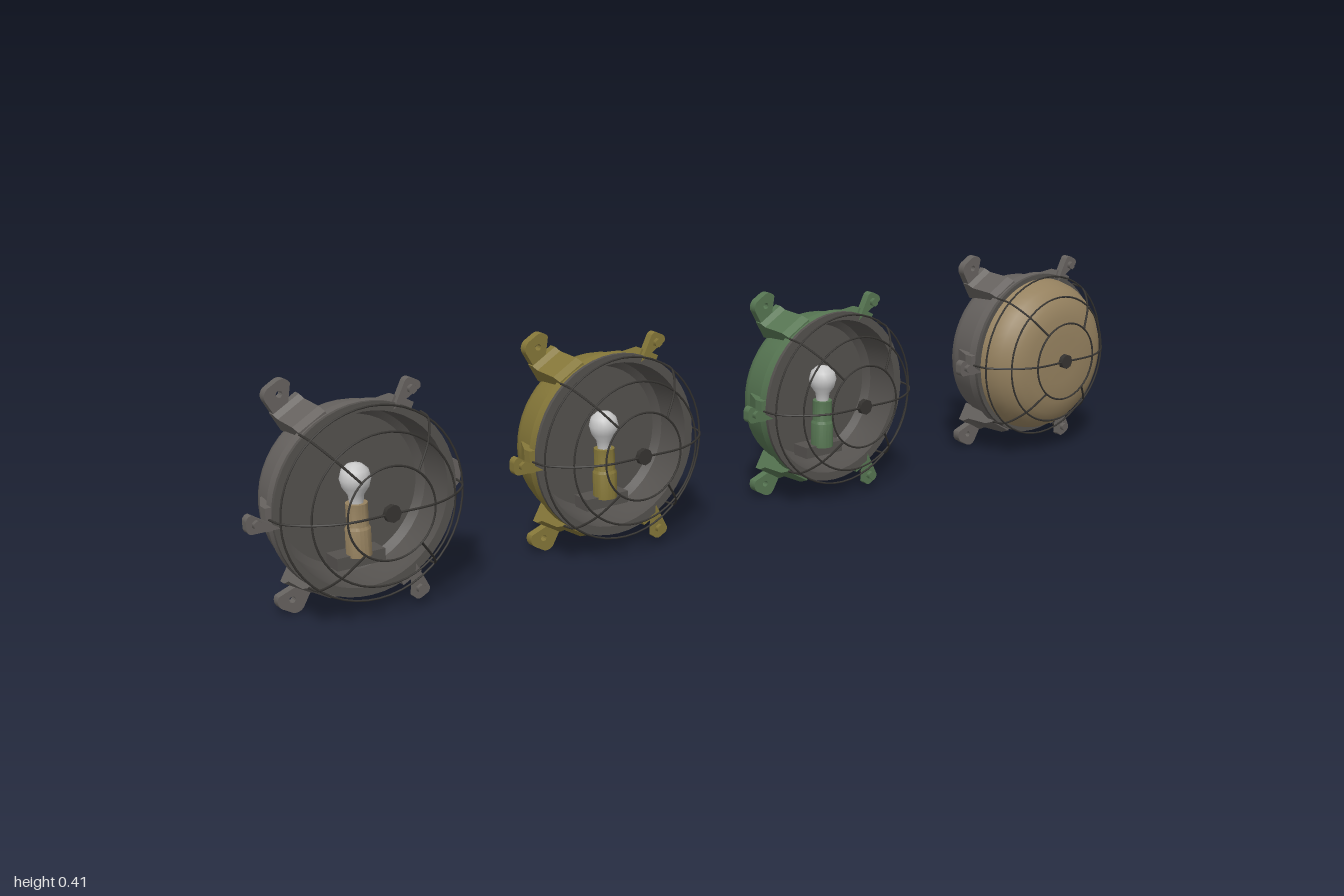
import * as THREE from 'three';
import { toCreasedNormals } from 'three/addons/utils/BufferGeometryUtils.js';

const mat = (name, color, side = THREE.FrontSide) => {
  const m = new THREE.MeshStandardMaterial({ color, side });
  m.name = name;
  return m;
};
const grey = mat('grey paint', 0x66625f);
const yellow = mat('yellow paint', 0x857739);
const green = mat('green paint', 0x567552);
const tan = mat('tan glass', 0x95815f);
const dark = mat('dark interior', 0x54514e, THREE.DoubleSide);
const wire = mat('black wire', 0x363431);
const white = mat('bulb white', 0xc8c8c8);

const V = (x, y, z) => new THREE.Vector3(x, y, z);
const rad = THREE.MathUtils.degToRad;

function add(parent, name, geo, material) {
  const m = new THREE.Mesh(geo, material);
  m.name = name;
  parent.add(m);
  return m;
}

// Lathe around the z axis; points are [radius, z]
function turned(points, crease = 0.6) {
  const g = new THREE.LatheGeometry(points.map(([r, z]) => new THREE.Vector2(r, z)), 48);
  return toCreasedNormals(g.rotateX(Math.PI / 2), crease);
}

// Cylinder along z from z0 to z1
function pin(r, z0, z1, sides = 12) {
  return new THREE.CylinderGeometry(r, r, z1 - z0, sides).rotateX(Math.PI / 2).translate(0, 0, (z0 + z1) / 2);
}

// Plate along +x with rounded outer corners and an optional drilled hole
function lugPlate(r0, r1, half, corner, hole, z0, z1) {
  const s = new THREE.Shape();
  s.moveTo(r0, -half);
  s.absarc(r1 - corner, -half + corner, corner, -Math.PI / 2, 0, false);
  s.absarc(r1 - corner, half - corner, corner, 0, Math.PI / 2, false);
  s.lineTo(r0, half);
  s.closePath();
  if (hole) s.holes.push(new THREE.Path().absarc(r1 - half * 0.8, 0, hole, 0, Math.PI * 2, true));
  return new THREE.ExtrudeGeometry(s, { depth: z1 - z0, bevelEnabled: false, curveSegments: 6 }).translate(0, 0, z0);
}

// Block with an [r, z] side profile and a given width
function profileBlock(points, width) {
  const s = new THREE.Shape(points.map(([r, z]) => new THREE.Vector2(r, z)));
  return new THREE.ExtrudeGeometry(s, { depth: width, bevelEnabled: false })
    .rotateX(Math.PI / 2).translate(0, width / 2, 0);
}

function buildCage() {
  const cage = new THREE.Group();
  cage.name = 'wireCage';
  for (const [r, z] of [[0.167, 0.031], [0.131, 0.069], [0.08, 0.093]])
    add(cage, 'cageRing', new THREE.TorusGeometry(r, 0.0019, 6, 48).translate(0, 0, z), wire);
  for (const a of [0, 50, 130, 180, 230, 310]) {
    const pts = [[0.172, 0], [0.167, 0.031], [0.131, 0.069], [0.08, 0.093]];
    if (a % 180 === 0) pts.push([0, 0.095]);
    const c = new THREE.CatmullRomCurve3(pts.map(([r, z]) => V(r, 0, z)));
    add(cage, 'cageRib', new THREE.TubeGeometry(c, 20, 0.0021, 6), wire).rotation.z = rad(a);
  }
  add(cage, 'cageHub', pin(0.015, 0.088, 0.098, 8), wire);
  return cage;
}

function buildBulb(holderPaint) {
  const g = new THREE.Group();
  g.name = 'bulbAssembly';
  add(g, 'holderBase', new THREE.BoxGeometry(0.09, 0.022, 0.04).translate(0, -0.115, -0.045), dark);
  const holder = [[0, -0.108], [0.022, -0.108], [0.022, -0.06], [0.019, -0.055], [0.019, -0.015], [0, -0.015]];
  add(g, 'bulbHolder', toCreasedNormals(new THREE.LatheGeometry(
    holder.map(p => new THREE.Vector2(...p)), 20), 0.6), holderPaint).position.z = -0.033;
  const glass = [[0.012, -0.015], [0.014, 0], [0.023, 0.013], [0.027, 0.028], [0.023, 0.043], [0.013, 0.052], [0, 0.055]];
  add(g, 'bulb', new THREE.LatheGeometry(
    glass.map(p => new THREE.Vector2(...p)), 20), white).position.z = -0.033;
  return g;
}

function buildLamp(paint, holderPaint) {
  const lamp = new THREE.Group();
  lamp.name = 'bulkheadLamp';

  // Pan-shaped housing with a rounded back
  add(lamp, 'housing', turned([[0, -0.097], [0.132, -0.097], [0.143, -0.094], [0.151, -0.086],
    [0.155, -0.072], [0.161, -0.02], [0.168, -0.018], [0.168, 0]]), paint);
  add(lamp, 'innerPan', turned([[0.168, 0], [0.168, 0.007], [0.152, 0.007], [0.15, -0.02],
    [0.143, -0.055], [0.13, -0.065], [0, -0.065]]), dark);

  // Wall brackets reaching out at the back
  for (const a of [-5, 120, 240]) {
    const b = new THREE.Group();
    b.name = 'wallBracket';
    b.rotation.z = rad(a);
    add(b, 'bracketArm', profileBlock([[0.154, -0.004], [0.17, -0.004], [0.177, -0.02], [0.179, -0.07],
      [0.186, -0.081], [0.186, -0.095], [0.148, -0.095], [0.148, -0.06]], 0.056), paint);
    add(b, 'bracketFoot', lugPlate(0.148, 0.228, 0.026, 0.017, 0.006, -0.097, -0.081), paint);
    lamp.add(b);
  }

  // Front clamps with bolts
  for (const a of [63, 180, 297]) {
    const c = new THREE.Group();
    c.name = 'cageClamp';
    c.rotation.z = rad(a);
    add(c, 'clampBoss', profileBlock([[0.154, 0], [0.178, 0], [0.178, -0.018], [0.158, -0.06], [0.15, -0.06]], 0.04), paint);
    add(c, 'clampPlate', lugPlate(0.155, 0.215, 0.016, 0.01, 0, -0.007, 0.008), paint);
    add(c, 'clampBolt', pin(0.004, -0.018, 0.008, 8).translate(0.198, 0, 0), wire);
    add(c, 'boltHead', pin(0.008, 0.006, 0.016, 6).translate(0.198, 0, 0), paint);
    lamp.add(c);
  }

  // Cable plug underneath
  add(lamp, 'cablePlug', new THREE.CylinderGeometry(0.018, 0.018, 0.022, 16).translate(0, -0.159, -0.05), paint);
  add(lamp, 'cablePlugCap', new THREE.CylinderGeometry(0.008, 0.008, 0.006, 6).translate(0, -0.172, -0.05), wire);

  // Either a tinted dome or an open pan showing the bulb
  if (holderPaint) lamp.add(buildBulb(holderPaint));
  else add(lamp, 'glassDome', turned([[0.159, 0.005], [0.155, 0.028], [0.145, 0.048], [0.132, 0.062],
    [0.115, 0.073], [0.09, 0.08], [0.05, 0.082], [0, 0.083]], 1), tan);

  lamp.add(buildCage());
  return lamp;
}

export function createModel() {
  const model = new THREE.Group();
  model.name = 'bulkheadLampSet';
  const lamps = [[-0.787, grey, tan], [-0.289, yellow, yellow], [0.225, green, green], [0.772, grey, null]];
  for (const [x, paint, holder] of lamps) {
    const lamp = buildLamp(paint, holder);
    lamp.position.set(x, 0.2025, 0);
    model.add(lamp);
  }
  return model;
}
